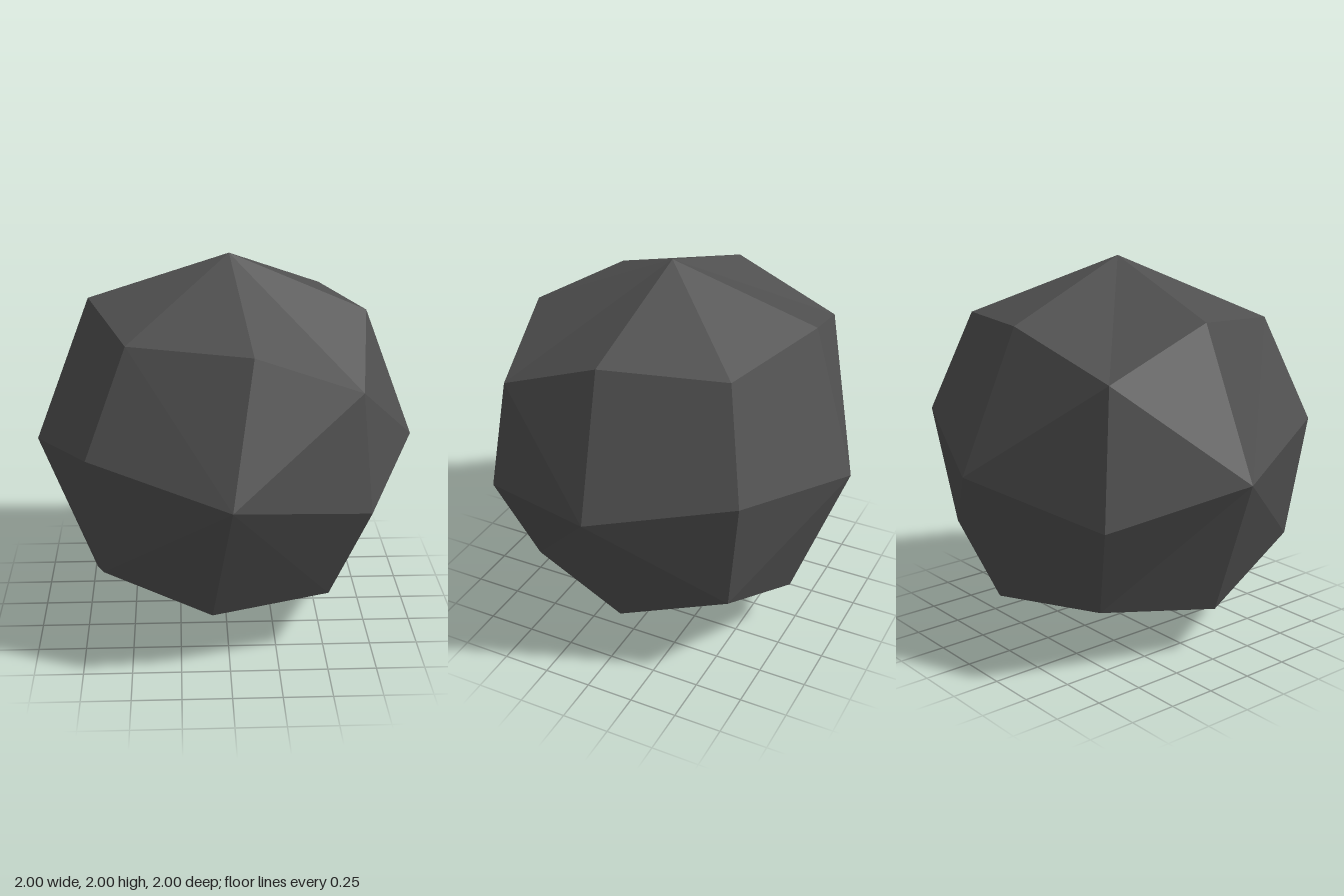
import * as THREE from 'three';

// Corner points of the faceted stone, keyed by the signs of x, y and z
const points = {
  // axis tips
  '1,0,0': [1, 0, 0], '-1,0,0': [-1, 0, 0],
  '0,1,0': [0.02, 1, 0], '0,-1,0': [0.02, -1, 0],
  '0,0,1': [0, 0, 1], '0,0,-1': [0, 0, -1],
  // edge points
  '1,1,0': [0.727, 0.707, 0.05], '-1,1,0': [-0.708, 0.757, -0.05],
  '1,-1,0': [0.73, -0.707, -0.05], '-1,-1,0': [-0.705, -0.749, 0.05],
  '0,1,1': [0.11, 0.675, 0.74], '0,1,-1': [-0.096, 0.733, -0.74],
  '0,-1,1': [-0.09, -0.68, 0.738], '0,-1,-1': [0.09, -0.722, -0.74],
  '1,0,1': [0.70, -0.144, 0.708], '-1,0,1': [-0.70, 0.155, 0.708],
  '1,0,-1': [0.749, 0.155, -0.709], '-1,0,-1': [-0.749, -0.155, -0.709],
  // octant corners
  '1,1,1': [0.649, 0.455, 0.626], '-1,1,1': [-0.498, 0.684, 0.564],
  '1,1,-1': [0.545, 0.695, -0.564], '-1,1,-1': [-0.68, 0.53, -0.626],
  '1,-1,1': [0.513, -0.657, 0.567], '-1,-1,1': [-0.636, -0.483, 0.626],
  '1,-1,-1': [0.66, -0.487, -0.626], '-1,-1,-1': [-0.53, -0.66, -0.565],
};

export function createModel() {
  const group = new THREE.Group();
  group.name = 'facetedStone';
  const stone = new THREE.MeshStandardMaterial({ color: 0x505050 });
  stone.name = 'dark grey stone';
  stone.flatShading = true;

  // Three four-sided facets per octant: axis tip, edge, corner, edge
  const positions = [];
  const signs = [-1, 1];
  for (const sx of signs) for (const sy of signs) for (const sz of signs) {
    const s = [sx, sy, sz];
    const at = (...axes) => points[s.map((v, i) => (axes.includes(i) ? v : 0)).join()];
    const corner = at(0, 1, 2);
    for (let a = 0; a < 3; a++) {
      const b = (a + 1) % 3, c = (a + 2) % 3;
      let first = at(a, b), second = at(a, c);
      if (sx * sy * sz < 0) [first, second] = [second, first];
      const tip = at(a);
      positions.push(...tip, ...first, ...corner, ...tip, ...corner, ...second);
    }
  }
  const geometry = new THREE.BufferGeometry();
  geometry.setAttribute('position', new THREE.Float32BufferAttribute(positions, 3));
  geometry.translate(0, 1, 0);
  geometry.computeVertexNormals();

  const body = new THREE.Mesh(geometry, stone);
  body.name = 'stoneBody';
  group.add(body);
  return group;
}
